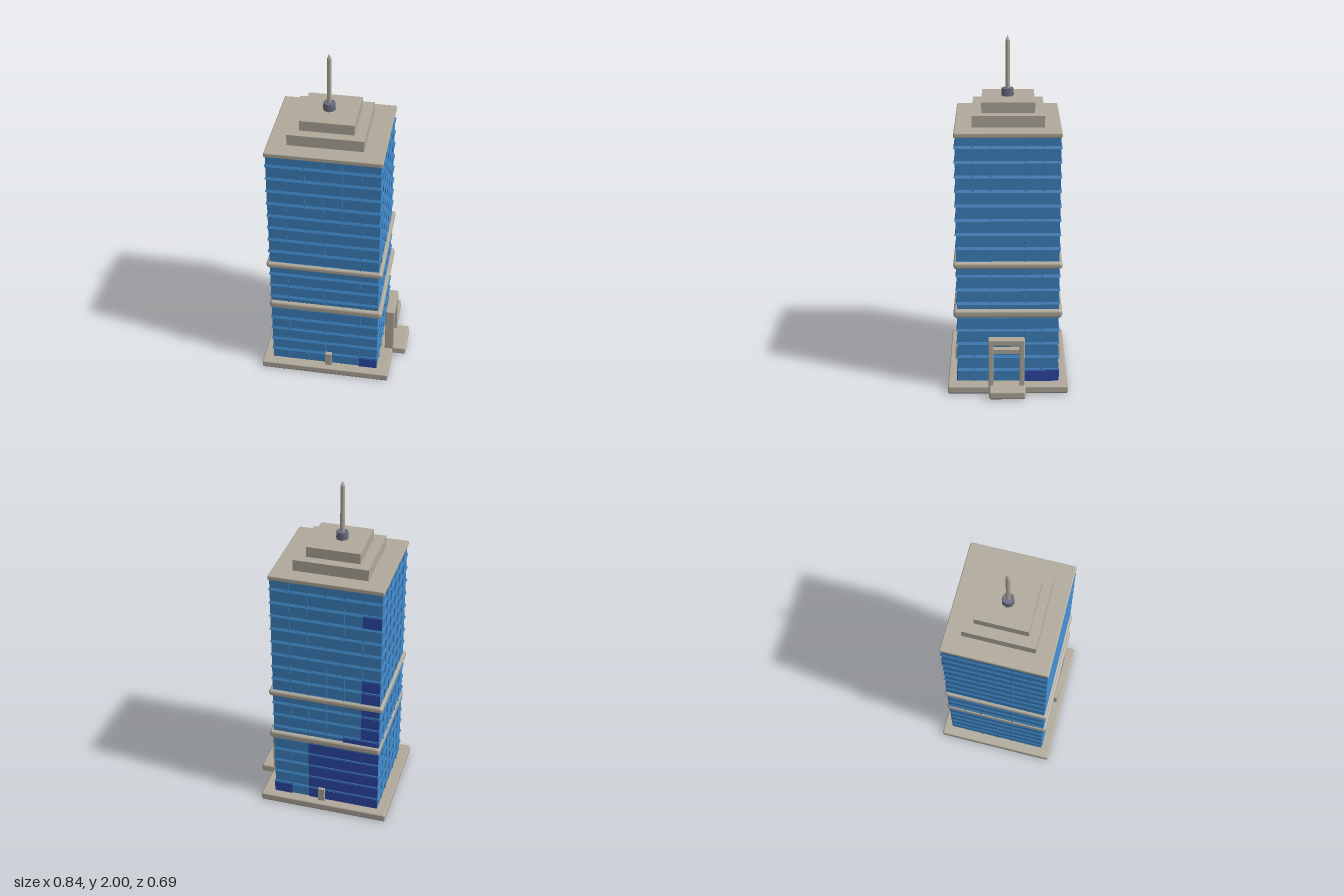
import * as THREE from 'three';
import { RoundedBoxGeometry } from 'three/addons/geometries/RoundedBoxGeometry.js';

export function createModel() {
  const model = new THREE.Group();
  model.name = 'skyscraper';
  const mat = (name, color) => {
    const m = new THREE.MeshStandardMaterial({ color });
    m.name = name;
    return m;
  };
  const stone = mat('warm grey stone', 0xb0a99b);
  const glass = mat('blue glass', 0x3d82c0);
  const darkGlass = mat('dark blue glass', 0x2c48a8);
  const metal = mat('slate metal', 0x6a6a80);

  const add = (name, geometry, material, parent = model) => {
    const m = new THREE.Mesh(geometry, material);
    m.name = name;
    parent.add(m);
    return m;
  };
  // Box given by its extents; a radius rounds the edges
  const block = (name, material, [x0, x1], [y0, y1], [z0, z1], parent = model, radius = 0) => {
    const s = [x1 - x0, y1 - y0, z1 - z0];
    const g = radius ? new RoundedBoxGeometry(...s, 2, radius) : new THREE.BoxGeometry(...s);
    g.translate((x0 + x1) / 2, (y0 + y1) / 2, (z0 + z1) / 2);
    return add(name, g, material, parent);
  };
  const group = (name) => {
    const g = new THREE.Group();
    g.name = name;
    model.add(g);
    return g;
  };

  // Plinth with a slate underside, and entrance step
  block('plinth', stone, [-0.42, 0.34], [0.002, 0.046], [-0.345, 0.345], model, 0.008);
  block('plinthUnderside', metal, [-0.415, 0.335], [0, 0.004], [-0.34, 0.34]);
  block('entranceStep', stone, [0.3, 0.42], [0.005, 0.055], [-0.1, 0.108], model, 0.012);
  block('stepUnderside', metal, [0.33, 0.41], [0.003, 0.007], [-0.09, 0.098]);

  // Glass tower
  const X0 = -0.36, X1 = 0.266, Z = 0.288, Y0 = 0.04, Y1 = 1.515;
  const floorY = (i) => 0.042 + 0.0835 * i;
  const cx = (X0 + X1) / 2, cols = 6;
  block('towerGlass', glass, [X0, X1], [Y0, Y1], [-Z, Z]);

  // Thin floor ledges: the upper side slopes out from the facade
  const ledges = group('floorLedges');
  for (let i = 1; i <= 17; i++) {
    const h = 0.014, out = 0.007;
    const g = new THREE.BoxGeometry(X1 - X0 + 2 * out, h, 2 * Z + 2 * out);
    const p = g.attributes.position;
    for (let k = 0; k < p.count; k++) {
      if (p.getY(k) < 0) continue;
      p.setX(k, Math.sign(p.getX(k)) * (X1 - X0) / 2);
      p.setZ(k, Math.sign(p.getZ(k)) * Z);
    }
    g.computeVertexNormals();
    g.translate(cx, floorY(i) - h / 2, 0);
    add('ledge', g, glass, ledges);
  }

  // Slim vertical mullions on all four sides
  const mullions = group('mullions');
  const w = 0.003, d = 0.004;
  const colX = (i) => X0 + (X1 - X0) * i / cols;
  const colZ = (i) => -Z + 2 * Z * i / cols;
  for (let i = 1; i < cols; i++) {
    const x = colX(i), z = colZ(i);
    block('mullion', glass, [x - w, x + w], [Y0, Y1], [-Z - d, Z + d], mullions);
    block('mullion', glass, [X0 - d, X1 + d], [Y0, Y1], [z - w, z + w], mullions);
  }

  // Dark panes: [side, first column, last column, first floor, last floor]
  const panes = group('darkPanes');
  const patches = [
    ['back', 0, 3, 0, 4], ['back', 0, 0, 5, 10], ['back', 1, 1, 5, 5], ['back', 0, 0, 15, 15],
    ['back', 5, 5, 0, 0], ['front', 5, 5, 0, 0], ['left', 0, 1, 0, 0],
  ];
  const t = 0.006;
  for (const [side, c0, c1, f0, f1] of patches) {
    for (let c = c0; c <= c1; c++) {
      for (let f = f0; f <= f1; f++) {
        const y = [floorY(f), floorY(f + 1) - 0.008];
        const x = [colX(c), colX(c + 1)];
        if (side === 'back') block('darkPane', darkGlass, x, y, [-Z - t, -Z], panes);
        if (side === 'front') block('darkPane', darkGlass, x, y, [Z, Z + t], panes);
        if (side === 'left') block('darkPane', darkGlass, [X1, X1 + t], y, [colZ(c), colZ(c + 1)], panes);
      }
    }
  }

  // Stone belts around the tower
  block('lowerBelt', stone, [-0.368, 0.29], [0.453, 0.5], [-0.308, 0.308], model, 0.016);
  block('upperBelt', stone, [-0.378, 0.288], [0.75, 0.79], [-0.305, 0.305], model, 0.016);

  // Stepped roof
  block('roofSlab', stone, [-0.368, 0.274], [1.508, 1.535], [-0.294, 0.294], model, 0.006);
  block('roofTierLower', stone, [-0.26, 0.16], [1.53, 1.6], [-0.203, 0.198]);
  block('roofTierUpper', stone, [-0.2, 0.1], [1.6, 1.66], [-0.15, 0.145]);

  // Antenna
  const mount = new THREE.CylinderGeometry(0.033, 0.035, 0.045, 8);
  add('antennaMount', mount, metal).position.set(-0.06, 1.68, 0);
  const mast = new THREE.CylinderGeometry(0.012, 0.013, 0.27, 6);
  add('antennaMast', mast, stone).position.set(-0.06, 1.835, 0);
  add('antennaTip', new THREE.ConeGeometry(0.012, 0.03, 6), stone).position.set(-0.06, 1.985, 0);

  // Entrance portal: two legs, lintel and inner crossbar
  const portal = group('entrancePortal');
  const px = [0.292, 0.345];
  block('portalLeg', stone, px, [0.04, 0.335], [0.082, 0.112], portal, 0.006);
  block('portalLeg', stone, px, [0.04, 0.335], [-0.095, -0.065], portal, 0.006);
  block('portalLintel', stone, px, [0.305, 0.34], [-0.095, 0.112], portal, 0.006);
  block('portalCrossbar', stone, [0.297, 0.34], [0.255, 0.278], [-0.07, 0.09], portal);

  // Small posts by the front and back walls
  for (const s of [-1, 1]) {
    const z = [s * 0.287, s * 0.312].sort((a, b) => a - b);
    block('doorPost', stone, [-0.042, -0.004], [0.04, 0.13], z);
  }

  return model;
}
